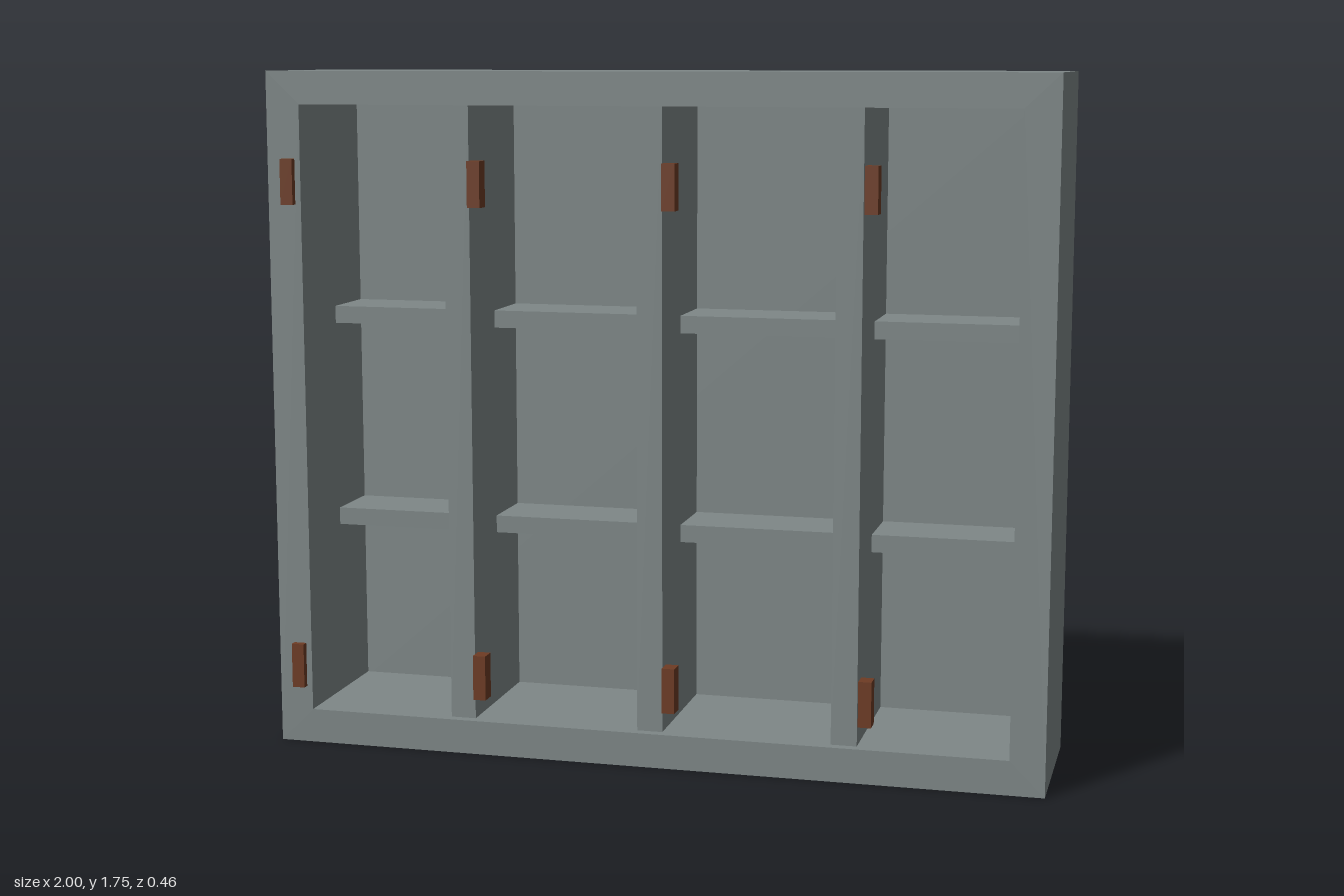
import * as THREE from 'three';

const bodyMat = new THREE.MeshStandardMaterial({ color: 0x7f8888 });
const hingeMat = new THREE.MeshStandardMaterial({ color: 0x6e3c24 });

// Box given by its extents on each axis
function block(name, mat, [x0, x1], [y0, y1], [z0, z1]) {
  const mesh = new THREE.Mesh(new THREE.BoxGeometry(x1 - x0, y1 - y0, z1 - z0), mat);
  mesh.position.set((x0 + x1) / 2, (y0 + y1) / 2, (z0 + z1) / 2);
  mesh.name = name;
  return mesh;
}

export function createModel() {
  const cabinet = new THREE.Group();
  cabinet.name = 'cabinet';

  const height = 1.75, back = -0.228, inner = -0.178, front = 0.212;
  const left = -0.912, right = 0.912, floor = 0.088, ceiling = 1.666;

  // Outer frame: a rectangle with a rectangular opening
  const outline = new THREE.Shape();
  outline.moveTo(-1, 0).lineTo(1, 0).lineTo(1, height).lineTo(-1, height).closePath();
  const opening = new THREE.Path();
  opening.moveTo(left, floor).lineTo(left, ceiling).lineTo(right, ceiling).lineTo(right, floor).closePath();
  outline.holes.push(opening);
  const frame = new THREE.Mesh(
    new THREE.ExtrudeGeometry(outline, { depth: front - inner, bevelEnabled: false }), bodyMat);
  frame.position.z = inner;
  frame.name = 'frame';
  cabinet.add(frame);

  cabinet.add(block('backPanel', bodyMat, [-1, 1], [0, height], [back, inner]));

  // Upright dividers, set slightly behind the frame's front
  const half = 0.033, dividers = [-0.502, -0.002, 0.498];
  for (const x of dividers) {
    cabinet.add(block('divider', bodyMat, [x - half, x + half], [floor, ceiling], [inner, 0.187]));
  }

  // Two shallow shelves in each bay
  const bayStarts = [left, ...dividers.map((x) => x + half)];
  const bayEnds = [...dividers.map((x) => x - half), right];
  bayStarts.forEach((x0, i) => {
    for (const y of [0.543, 1.087]) {
      cabinet.add(block('shelf', bodyMat, [x0, bayEnds[i]], [y, y + 0.045], [inner, 0]));
    }
  });

  // Pairs of door hinges along the front
  for (const x of [-0.96, -0.46, 0.04, 0.54]) {
    for (const y of [0.15, 1.413]) {
      cabinet.add(block('hinge', hingeMat, [x, x + 0.033], [y, y + 0.116], [0.187, 0.23]));
    }
  }

  return cabinet;
}
